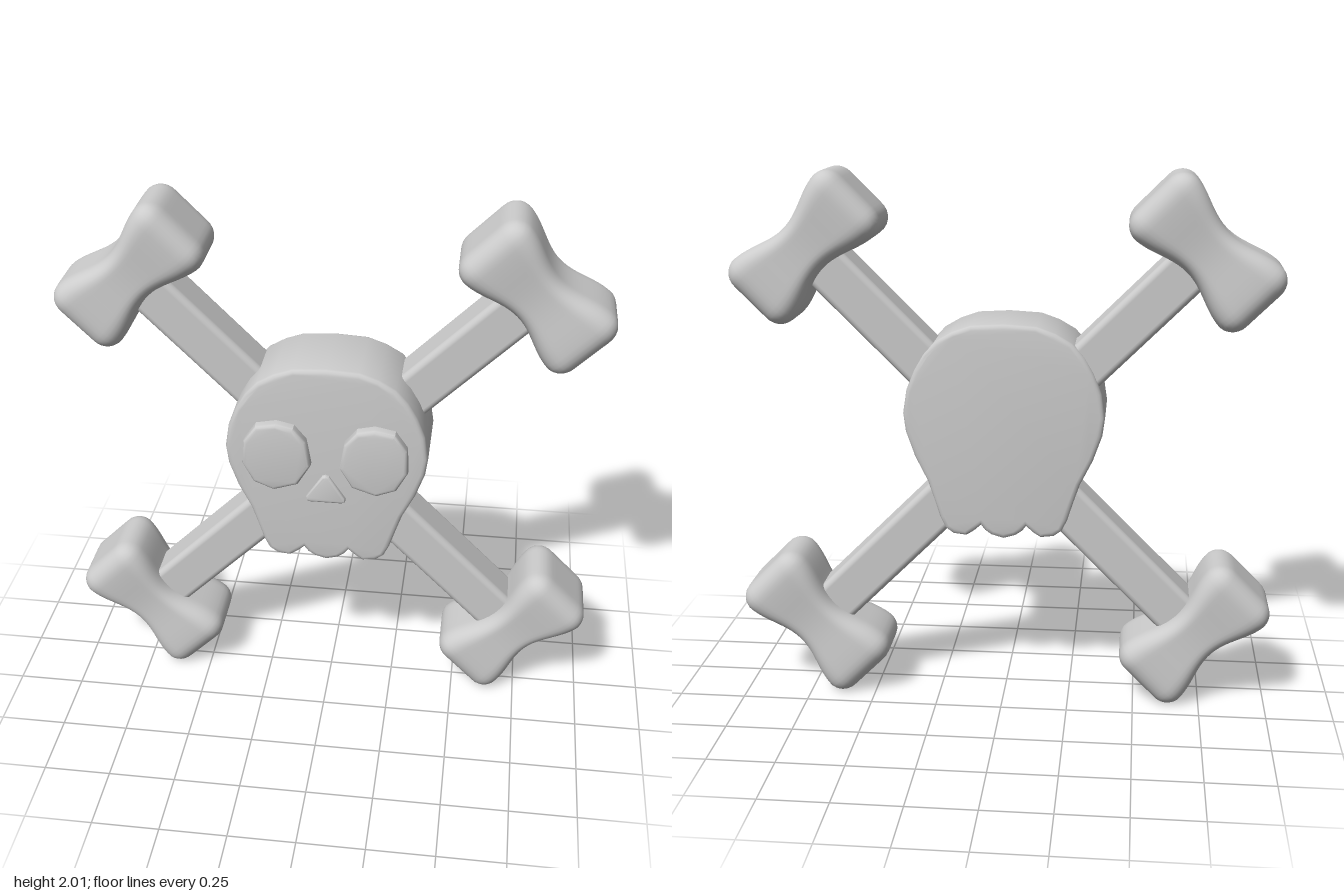
import * as THREE from 'three';
import { mergeVertices, toCreasedNormals } from 'three/addons/utils/BufferGeometryUtils.js';
import { RoundedBoxGeometry } from 'three/addons/geometries/RoundedBoxGeometry.js';

const material = new THREE.MeshStandardMaterial({ color: 0xcccccc });

function addMesh(parent, name, geometry) {
  const mesh = new THREE.Mesh(geometry, material);
  mesh.name = name;
  parent.add(mesh);
  return mesh;
}

// Bevelled plate whose outer outline is exactly the given points, from z = back to z = front
function plate(points, back, front, bevel, crease = 0.6) {
  const shape = new THREE.Shape(points.map(([x, y]) => new THREE.Vector2(x, y)));
  const geometry = new THREE.ExtrudeGeometry(shape, {
    depth: front - back - 2 * bevel, bevelThickness: bevel, bevelSize: bevel,
    bevelOffset: -bevel, bevelSegments: 3,
  });
  geometry.translate(0, 0, back + bevel);
  return toCreasedNormals(geometry, crease);
}

// Rounded block pinched at the middle of its length (y)
function knuckleGeometry() {
  const half = new THREE.Vector3(0.152, 0.285, 0.155), r = 0.07;
  let geometry = new THREE.BoxGeometry(half.x * 2, half.y * 2, half.z * 2, 16, 28, 16);
  geometry.deleteAttribute('uv');
  geometry.deleteAttribute('normal');
  geometry = mergeVertices(geometry);
  const core = half.clone().subScalar(r), coreMin = core.clone().negate();
  const pos = geometry.attributes.position;
  const p = new THREE.Vector3(), c = new THREE.Vector3();
  for (let i = 0; i < pos.count; i++) {
    p.fromBufferAttribute(pos, i);
    c.copy(p).clamp(coreMin, core);
    p.sub(c).normalize().multiplyScalar(r).add(c);
    const pinch = Math.cos(Math.min(1, Math.abs(p.y) / 0.23) * Math.PI / 2) ** 2;
    pos.setXYZ(i, p.x * (1 - 0.34 * pinch), p.y, p.z * (1 - 0.1 * pinch));
  }
  geometry.computeVertexNormals();
  return geometry;
}

export function createModel() {
  const model = new THREE.Group();
  model.name = 'skullAndCrossbones';

  // Skull: right half of the outline, mirrored
  const half = [
    [0.12, 1.455], [0.19, 1.43], [0.25, 1.395], [0.295, 1.345], [0.33, 1.285], [0.36, 1.21],
    [0.374, 1.12], [0.365, 1.05], [0.332, 0.955], [0.285, 0.86], [0.262, 0.79], [0.24, 0.72],
    [0.22, 0.678], [0.19, 0.656], [0.14, 0.65], [0.112, 0.668], [0.085, 0.692], [0.07, 0.672],
    [0.045, 0.655],
  ];
  const mirrored = half.map(([x, y]) => [-x, y]).reverse();
  addMesh(model, 'skull', plate([[0, 1.462], ...half, [0, 0.642], ...mirrored], -0.147, 0.165, 0.018));

  // Raised eyes and nose
  const eye = [
    [0.07, 1.18], [0.115, 1.235], [0.18, 1.25], [0.255, 1.235], [0.3, 1.17],
    [0.305, 1.075], [0.265, 1.0], [0.19, 0.97], [0.1, 1.0], [0.053, 1.08],
  ];
  addMesh(model, 'leftEye', plate(eye, 0.1, 0.205, 0.016));
  addMesh(model, 'rightEye', plate(eye.map(([x, y]) => [-x, y]), 0.1, 0.205, 0.016));
  const nose = [
    [-0.013, 1.025], [0, 1.03], [0.013, 1.025], [0.073, 0.935], [0.073, 0.92],
    [0.06, 0.914], [-0.06, 0.914], [-0.073, 0.92], [-0.073, 0.935],
  ];
  addMesh(model, 'nose', plate(nose, 0.1, 0.18, 0.008));

  // Crossed bones with a knuckle on each end
  const knuckle = knuckleGeometry();
  const shaft = new RoundedBoxGeometry(1.94, 0.172, 0.17, 3, 0.025);
  for (const [side, angle] of [['rising', Math.PI / 4], ['falling', -Math.PI / 4]]) {
    const bone = new THREE.Group();
    bone.name = side + 'Bone';
    bone.position.set(0, 1.004, -0.047);
    bone.rotation.z = angle;
    addMesh(bone, 'shaft', shaft);
    for (const s of [1, -1]) {
      addMesh(bone, s > 0 ? 'leftKnuckle' : 'rightKnuckle', knuckle).position.set(s * 1.025, 0, -0.003);
    }
    model.add(bone);
  }
  return model;
}
